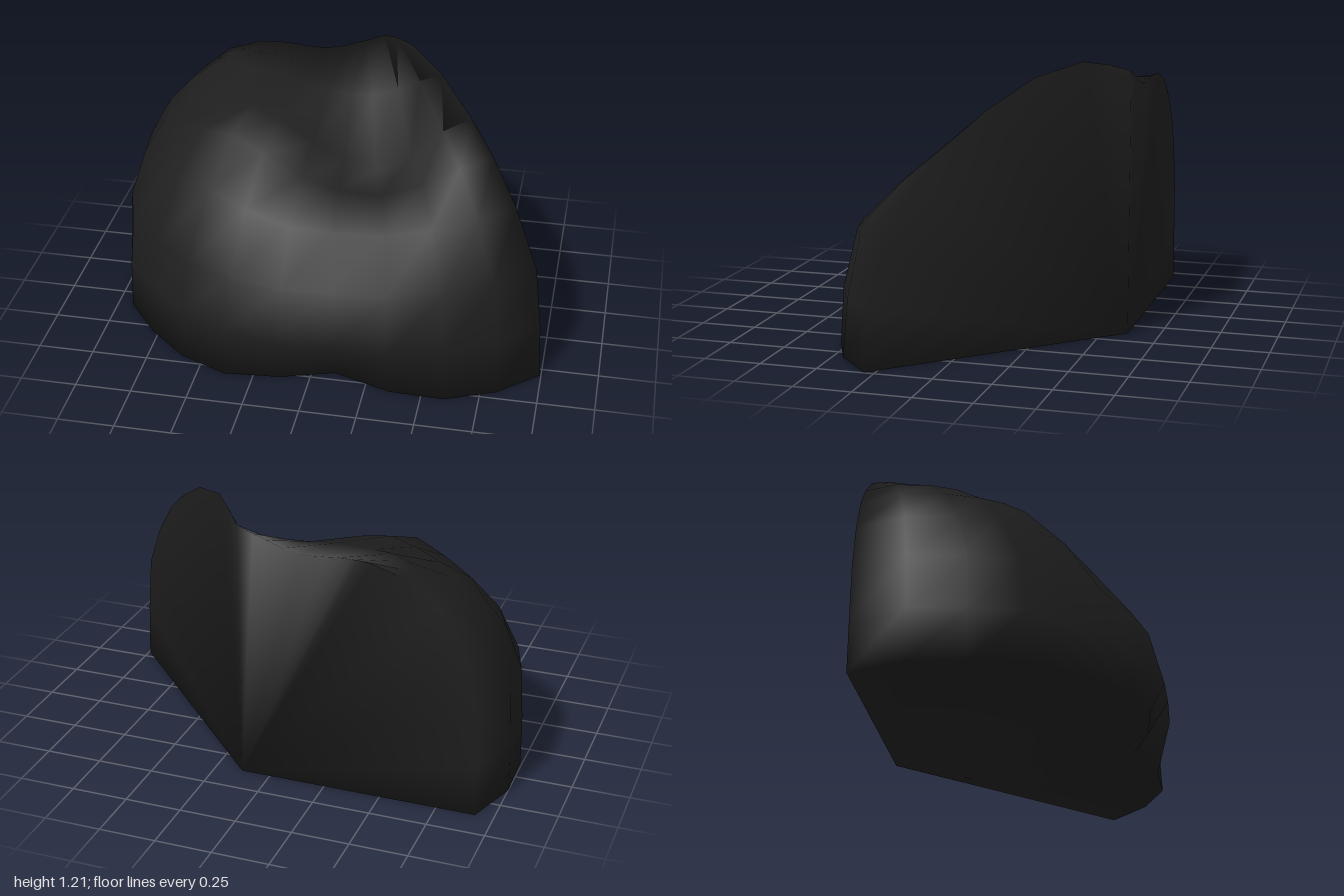
import * as THREE from 'three';

// Foot of the boulder [x, z], running round the front from the diagonal cut to the flat back
const FOOT = [
  [0.995, 0.295], [0.82, 0.455], [0.6, 0.56], [0.36, 0.625], [0.1, 0.63], [-0.13, 0.625], [-0.38, 0.56],
  [-0.6, 0.45], [-0.78, 0.29], [-0.93, 0.1], [-0.99, -0.12], [-1, -0.37], [-0.92, -0.61],
];

// Crest [x, y, z] along the top of the cut and the back
const CREST = [
  [0.28, 1.21, -0.435], [0.2, 1.19, -0.53], [0.13, 1.16, -0.61], [0.06, 1.13, -0.61], [0, 1.11, -0.61],
  [-0.07, 1.085, -0.61], [-0.14, 1.07, -0.61], [-0.2, 1.07, -0.61], [-0.26, 1.075, -0.61],
  [-0.31, 1.08, -0.61], [-0.36, 1.08, -0.61], [-0.4, 1.08, -0.61], [-0.45, 1.075, -0.61],
];

// Shared rise from foot to crest: [share of the way in, share of the height]
const RISE = [
  [0, 0], [0.02, 0.21], [0.07, 0.43], [0.225, 0.62], [0.39, 0.76], [0.55, 0.855], [0.77, 0.955], [1, 1],
];

const { lerp, smoothstep } = THREE.MathUtils;
const bump = (d, width) => Math.exp(-((d / width) ** 2));

function surfacePoint(i, j) {
  const [fx, fz] = FOOT[i];
  const [cx, cy, cz] = CREST[i];
  const inward = RISE[j][0] ** (1 + 0.5 * smoothstep(i, 7, 11)); // steeper wall on the -x side
  const x = lerp(fx, cx, inward);
  let z = lerp(fz, cz, inward);
  let y = cy * RISE[j][1];
  if (j > 2 && j < RISE.length - 1) {
    // hollow in the slope below the peak
    y -= 0.2 * smoothstep(i, 0, 2) * bump(x - 0.2, 0.32) * bump(z + 0.07, 0.28);
    // swelling shoulder on the -x side
    y += 0.12 * smoothstep(12 - i, 0, 2) * bump(x + 0.42, 0.28) * bump(z - 0.02, 0.28);
  }
  // undercut at the foot of the front
  if (j === 0) z -= 0.18 * bump(x - 0.1, 0.3);
  return [x, y, z];
}

function boulderGeometry() {
  const cols = FOOT.length, rows = RISE.length;
  const positions = [], index = [];
  const id = (i, j) => i * rows + j;
  for (let i = 0; i < cols; i++) {
    for (let j = 0; j < rows; j++) positions.push(...surfacePoint(i, j));
  }

  // rounded outer skin
  for (let i = 0; i < cols - 1; i++) {
    for (let j = 0; j < rows - 1; j++) {
      const a = id(i, j), b = id(i, j + 1), c = id(i + 1, j), d = id(i + 1, j + 1);
      index.push(a, b, c, b, d, c);
    }
  }

  // flat underside, back and diagonal cut, all fanned from the corner they share
  const corner = positions.length / 3;
  positions.push(0.13, 0, -0.61);
  const loop = [];
  for (let i = 0; i < cols; i++) loop.push(id(i, 0));
  for (let j = 1; j < rows; j++) loop.push(id(cols - 1, j));
  for (let i = cols - 2; i >= 0; i--) loop.push(id(i, rows - 1));
  for (let j = rows - 2; j >= 0; j--) loop.push(id(0, j));
  for (let k = 0; k < loop.length - 1; k++) index.push(corner, loop[k], loop[k + 1]);

  const geometry = new THREE.BufferGeometry();
  geometry.setAttribute('position', new THREE.Float32BufferAttribute(positions, 3));
  geometry.setIndex(index);
  geometry.computeVertexNormals(); // soft shading across every edge
  return geometry;
}

export function createModel() {
  const group = new THREE.Group();
  group.name = 'rock';
  const boulder = new THREE.Mesh(boulderGeometry(), new THREE.MeshStandardMaterial({ color: 0x1d1d1d }));
  boulder.name = 'boulder';
  group.add(boulder);
  return group;
}
